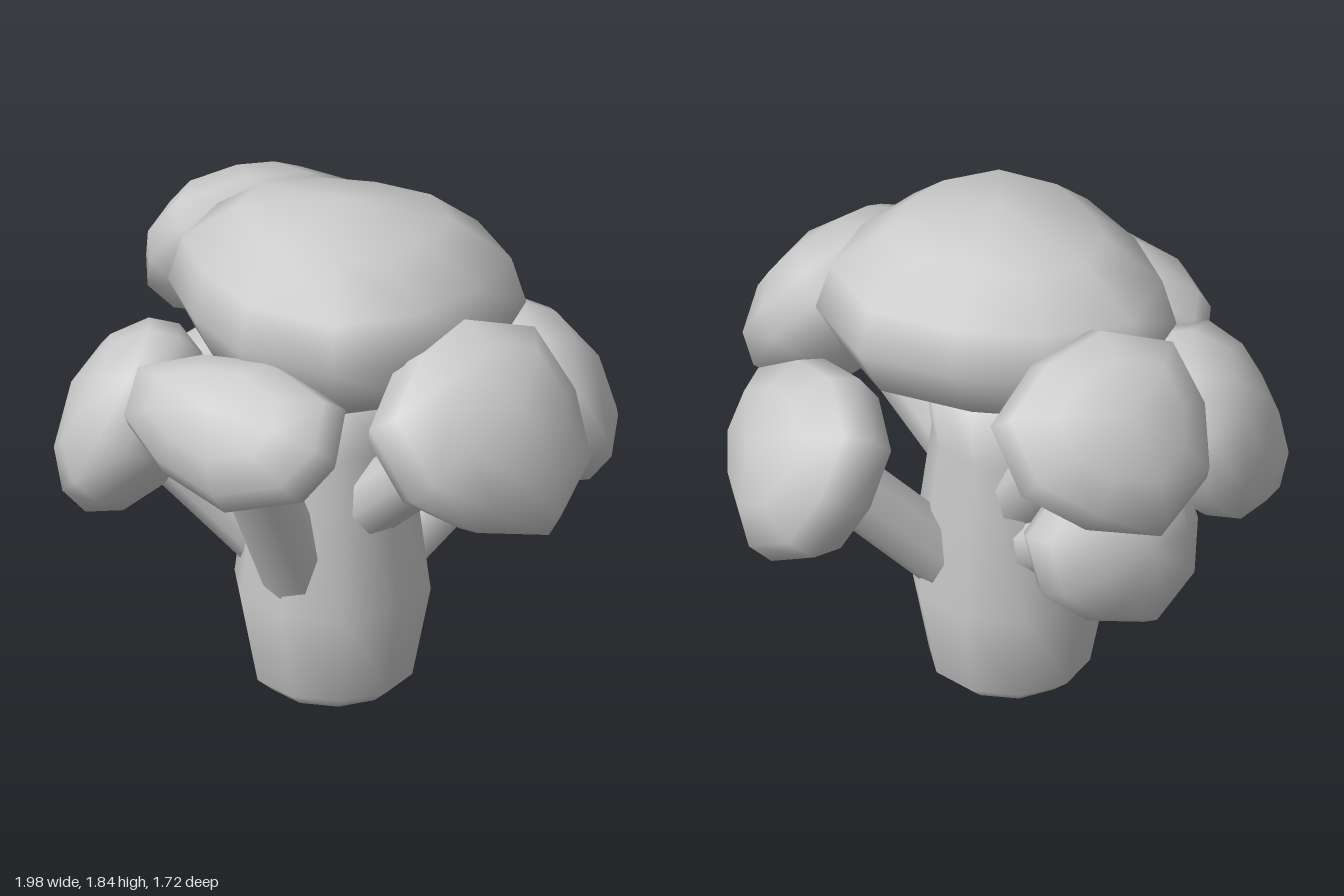
import * as THREE from 'three';

const V = (p) => new THREE.Vector3(...p);
const material = new THREE.MeshStandardMaterial({ color: 0xcccccc });
const UP = new THREE.Vector3(0, 1, 0);
const HUB = new THREE.Vector3(0, 0.64, 0); // florets face away from this point

// Lumpy dome: stacked three-lobed rings of half-width w and half-height t, closed by a pole at each end
function floret(name, center, [w, t, h], sides) {
  const c = V(center), axis = c.clone().sub(HUB).normalize();
  const u = new THREE.Vector3().crossVectors(UP, axis);
  if (u.length() < 0.01) u.set(1, 0, 0);
  u.normalize();
  const v = new THREE.Vector3().crossVectors(axis, u);
  const pos = [], index = [];
  const add = (x, y, z) => pos.push(
    ...c.clone().addScaledVector(u, x).addScaledVector(v, y).addScaledVector(axis, z).toArray());

  // Rings from the underside to the top: radius scale, height scale
  const rings = [[0.5, -0.75], [0.84, -0.45], [1, 0], [0.92, 0.42], [0.6, 0.8]];
  for (const [s, z] of rings) {
    for (let j = 0; j < sides; j++) {
      const angle = (j / sides) * Math.PI * 2;
      const r = s * (1 + 0.08 * Math.sin(3 * angle - 1.05));
      add(w * r * Math.cos(angle), t * r * Math.sin(angle), z * h);
    }
  }
  add(0, 0, -0.8 * h);
  add(0, 0, h);

  const bottom = rings.length * sides, last = bottom - sides;
  for (let j = 0; j < sides; j++) {
    const k = (j + 1) % sides;
    for (let r = 0; r < last; r += sides) {
      index.push(r + j, r + k, r + sides + j, r + k, r + sides + k, r + sides + j);
    }
    index.push(bottom, k, j, bottom + 1, last + j, last + k);
  }
  const geometry = new THREE.BufferGeometry();
  geometry.setAttribute('position', new THREE.Float32BufferAttribute(pos, 3));
  geometry.setIndex(index);
  geometry.computeVertexNormals();
  const mesh = new THREE.Mesh(geometry, material);
  mesh.name = name;
  return mesh;
}

// Round stalk between two points
function branch(name, from, to) {
  const a = V(from), d = V(to).sub(a);
  const mesh = new THREE.Mesh(new THREE.CylinderGeometry(0.12, 0.12, d.length(), 8), material);
  mesh.position.copy(a).addScaledVector(d, 0.5);
  mesh.quaternion.setFromUnitVectors(UP, d.normalize());
  mesh.name = name;
  return mesh;
}

// Side heads: name, rim centre, [half-width, half-height, dome height], stalk root
const HEADS = [
  ['left', [0.66, 1.19, 0.19], [0.43, 0.4, 0.27], [0.14, 0.74, 0.08]],
  ['front', [-0.06, 1.18, 0.6], [0.45, 0.27, 0.24], [-0.05, 0.48, 0.22]],
  ['rightFront', [-0.65, 0.98, 0.29], [0.36, 0.37, 0.25], [-0.24, 0.54, 0.1]],
  ['rightBack', [-0.64, 1.34, -0.44], [0.4, 0.37, 0.25], [-0.12, 0.76, -0.12]],
  ['lowerRightBack', [-0.6, 0.84, -0.31], [0.34, 0.31, 0.23], [-0.15, 0.6, -0.12]],
  ['leftBack', [0.46, 0.99, -0.53], [0.4, 0.36, 0.25], [0.12, 0.5, -0.18]],
];

export function createModel() {
  const group = new THREE.Group();
  group.name = 'broccoli';

  // Thick main stem with a rounded foot
  const profile = [[0, 0], [0.22, 0], [0.28, 0.05], [0.345, 0.38], [0.27, 0.95], [0.3, 1.2], [0, 1.25]];
  const stem = new THREE.Mesh(
    new THREE.LatheGeometry(profile.map(([r, y]) => new THREE.Vector2(r, y)), 10), material);
  stem.position.x = -0.04;
  stem.name = 'stem';
  group.add(stem);

  // Large crown on top
  group.add(floret('crownFloret', [0, 1.45, 0], [0.62, 0.55, 0.39], 11));

  // Smaller heads around it, each on its own stalk
  for (const [name, center, size, root] of HEADS) {
    group.add(floret(`${name}Floret`, center, size, 9), branch(`${name}Branch`, root, center));
  }
  return group;
}
